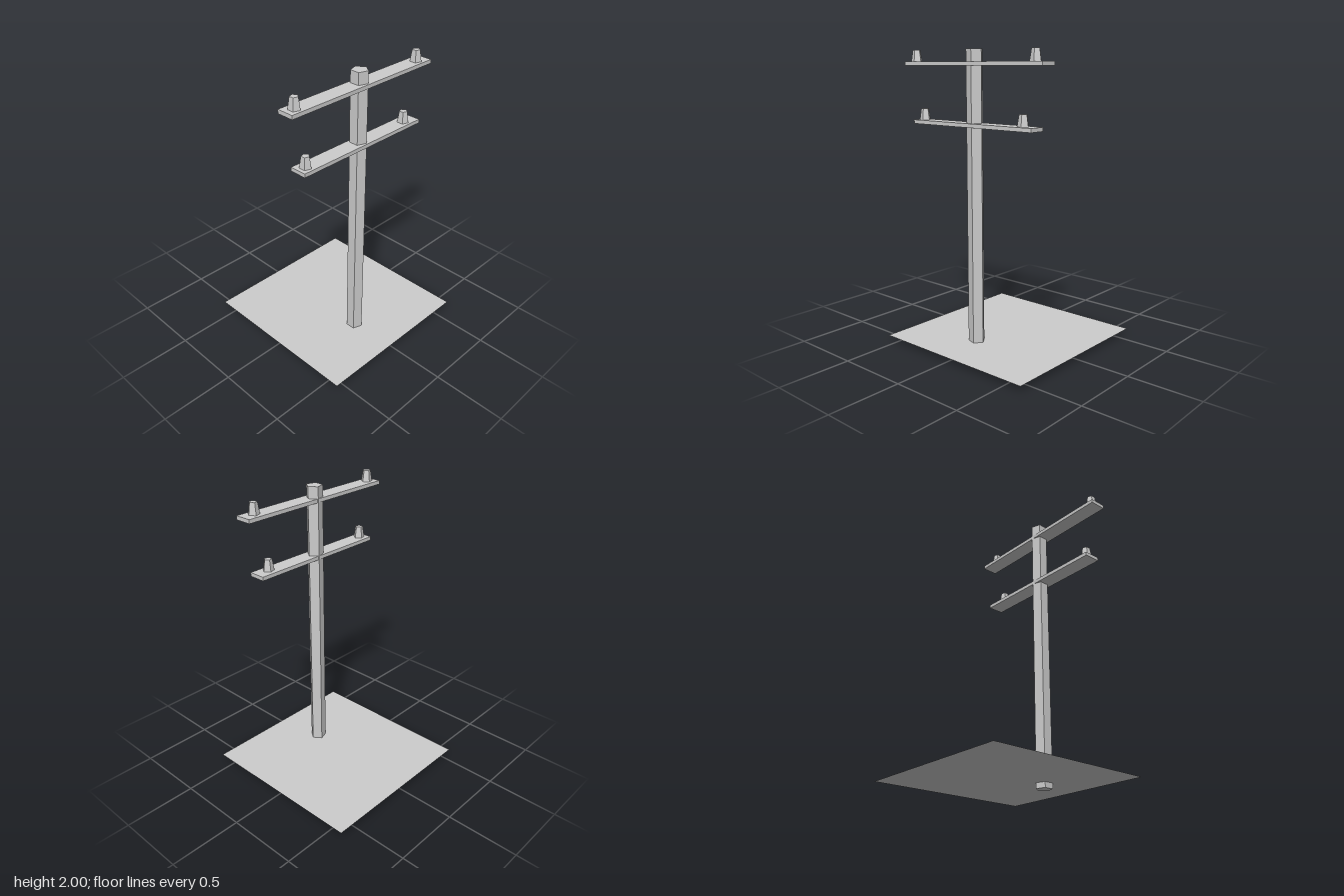
import * as THREE from 'three';

const grey = new THREE.MeshStandardMaterial({ color: 0xcccccc, flatShading: true });
const thin = new THREE.MeshStandardMaterial({ color: 0xcccccc, side: THREE.DoubleSide });

const ARM_THICKNESS = 0.026;

function add(parent, name, geometry, x, y, z, material = grey) {
  const mesh = new THREE.Mesh(geometry, material);
  mesh.name = name;
  mesh.position.set(x, y, z);
  parent.add(mesh);
  return mesh;
}

// Five-sided post standing on y = 0, with one corner pointing to +x
function pentagonPost(topRadius, bottomRadius, height) {
  return new THREE.CylinderGeometry(topRadius, bottomRadius, height, 5)
    .rotateY(Math.PI / 2)
    .translate(0, height / 2, 0);
}

export function createModel() {
  const model = new THREE.Group();
  model.name = 'utilityPole';

  // Ground sheet, with the foot of the pole poking through it
  const ground = new THREE.PlaneGeometry(1.196, 1.2).rotateX(-Math.PI / 2);
  add(model, 'ground', ground, 0.034, 0.038, 0, thin);

  add(model, 'pole', pentagonPost(0.057, 0.057, 2), -0.037, 0, 0.26);

  // Crossarms, each carrying a tapered insulator near either end
  const arms = [
    { name: 'upperCrossarm', x: -0.037, top: 1.92, length: 1.195, insulators: [-0.569, 0.47] },
    { name: 'lowerCrossarm', x: -0.037, top: 1.528, length: 1.032, insulators: [-0.496, 0.376] },
  ];
  for (const { name, x, top, length, insulators } of arms) {
    const arm = new THREE.Group();
    arm.name = name;
    add(arm, 'beam', new THREE.BoxGeometry(length, ARM_THICKNESS, 0.116),
      x, top - ARM_THICKNESS / 2, 0.267);
    for (const ix of insulators) {
      add(arm, 'insulator', pentagonPost(0.027, 0.039, 0.077), ix, top, 0.272);
    }
    model.add(arm);
  }

  return model;
}
